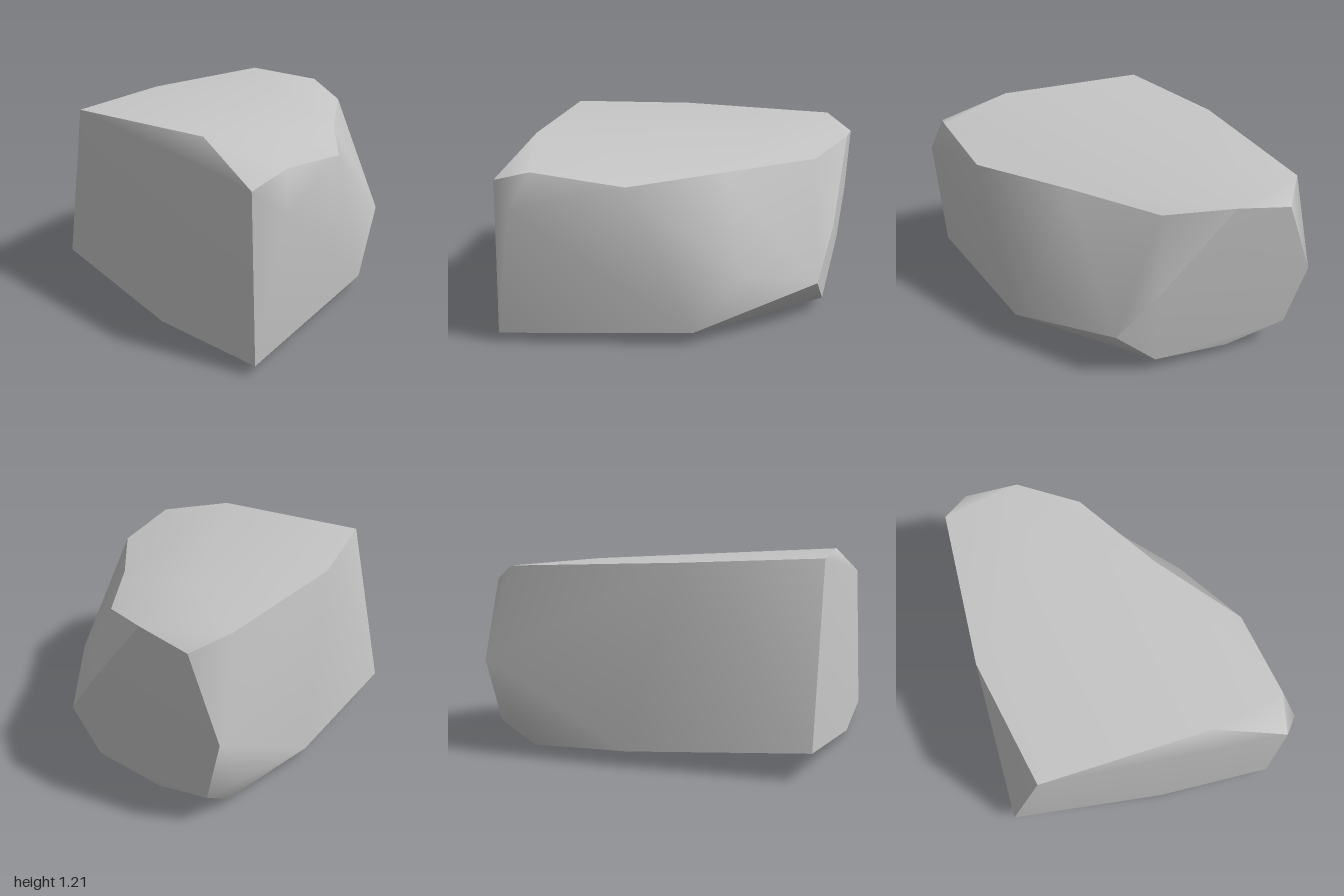
import * as THREE from 'three';
import { ConvexGeometry } from 'three/addons/geometries/ConvexGeometry.js';

const vec = (p) => new THREE.Vector3(...p);

// Corners of the chipped boulder, grouped by height
const rim = [ // around the flat top, plus its slight crown
  [-0.61, 1.185, 0.97], [0.41, 1.21, 0.86], [0.86, 1.04, 0.94], [0.88, 1.11, 0.7],
  [0.78, 1.03, 0.17], [-0.05, 1.03, -0.82], [-0.43, 1.09, -0.99],
  [-0.77, 1.04, -1], [-0.91, 1.13, -0.82], [-0.85, 1.16, 0.2], [-0.4, 1.157, -0.5],
];
const waist = [ // bulges on the sides and back
  [0.97, 0.9, 0.81], [0.59, 0.47, -0.47], [0.25, 0.31, -0.9], [0, 0.6, -0.96],
  [-0.965, 0.57, -0.98], [-0.97, 0.26, -0.8], [-0.86, 0.18, -0.95],
];
const base = [ // around the underside, plus its lowest point
  [-0.86, 0.16, 0.97], [0.15, 0.035, 1], [0.91, 0.065, 0.97], [0.68, 0.095, -0.2],
  [0, 0.09, -0.92], [-0.48, 0.07, -0.92], [-0.84, 0.04, -0.74], [-0.94, 0.09, -0.08],
  [-0.22, 0, 0],
];
// A rim corner that is pushed in to make a shallow hollow
const dentFrom = vec([0.42, 1.06, -0.36]);
const dentTo = vec([0.34, 1.02, -0.31]);

// Directions that each broad face of the boulder looks towards
const faces = {
  top: [[0, 1, 0]],
  bottom: [[0.2, -0.95, -0.2]],
  front: [[0, 0, 1]],
  back: [[0, 0, -1]],
  left: [[0.85, 0.1, -0.5], [1, 0, 0.4], [0.5, 0.4, -0.75]],
  right: [[-1, 0, -0.2]],
};
const seeds = Object.entries(faces).flatMap(([name, dirs]) =>
  dirs.map((d) => ({ name, dir: vec(d).normalize() })));

// Smooth normals within each broad face, sharp edges between them
function shadeByFace(geometry) {
  const pos = geometry.attributes.position;
  const sums = new Map();
  const keys = [];
  for (let i = 0; i < pos.count; i += 3) {
    const corners = [0, 1, 2].map((k) => new THREE.Vector3().fromBufferAttribute(pos, i + k));
    const [a, b, c] = corners;
    const normal = b.clone().sub(a).cross(c.clone().sub(a));
    const face = seeds.reduce((m, s) => (s.dir.dot(normal) > m.dir.dot(normal) ? s : m)).name;
    for (const p of corners) {
      const key = face + p.toArray().map((v) => v.toFixed(3));
      if (!sums.has(key)) sums.set(key, new THREE.Vector3());
      sums.get(key).add(normal);
      keys.push(key);
    }
  }
  keys.forEach((key, i) => {
    const n = sums.get(key).clone().normalize();
    geometry.attributes.normal.setXYZ(i, n.x, n.y, n.z);
  });
}

export function createModel() {
  const stone = new THREE.MeshStandardMaterial({ color: 0xc5c5c5 });
  stone.name = 'light grey stone';

  // Boulder hull with the dented rim corner
  const geometry = new ConvexGeometry([...[...rim, ...waist, ...base].map(vec), dentFrom]);
  const pos = geometry.attributes.position;
  const p = new THREE.Vector3();
  for (let i = 0; i < pos.count; i++) {
    if (p.fromBufferAttribute(pos, i).distanceTo(dentFrom) < 0.001) pos.setXYZ(i, ...dentTo);
  }
  shadeByFace(geometry);

  const boulder = new THREE.Mesh(geometry, stone);
  boulder.name = 'boulder';
  const model = new THREE.Group();
  model.name = 'rock';
  model.add(boulder);
  return model;
}
